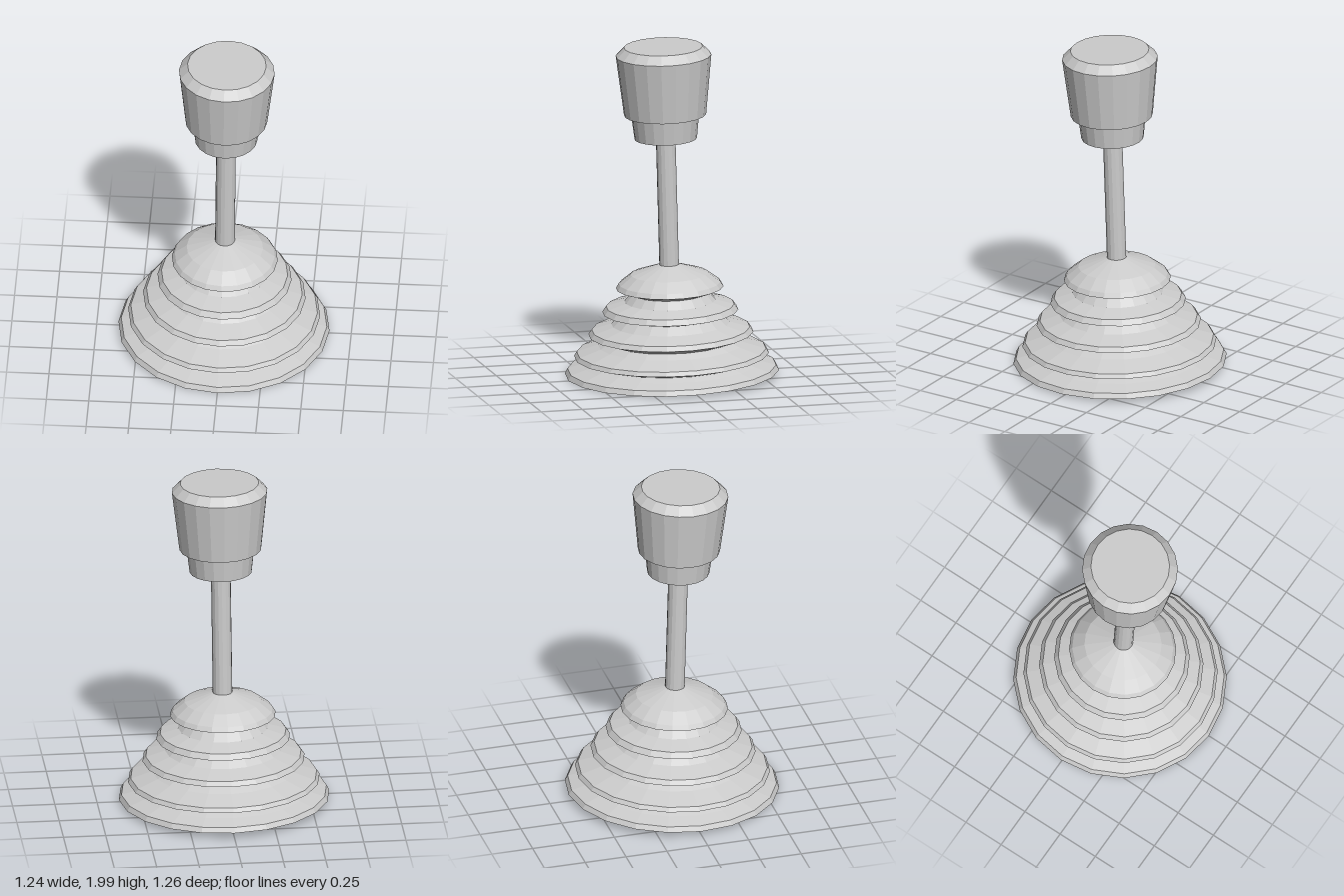
import * as THREE from 'three';

const material = new THREE.MeshStandardMaterial({ color: 0xcccccc, flatShading: true });

// Faceted solid of revolution from [radius, height] pairs, listed bottom to top
function turned(name, profile, sides) {
  const points = profile.map(([r, y]) => new THREE.Vector2(r, y));
  const mesh = new THREE.Mesh(new THREE.LatheGeometry(points, sides), material);
  mesh.name = name;
  return mesh;
}

export function createModel() {
  const model = new THREE.Group();
  model.name = 'gearLever';

  // Everything leans slightly forward and to the left as one piece
  const lever = new THREE.Group();
  lever.name = 'leaningLever';
  lever.position.set(0, 0.025, -0.003);
  lever.rotation.set(0.03, 0, -0.0105);
  model.add(lever);

  // Rubber bellows: each fold is [rim radius, rim bottom, lip radius, lip top, shoulder r, y, valley r, y]
  const folds = [
    [0.622, 0.0, 0.606, 0.03, 0.52, 0.055, 0.465, 0.075],
    [0.566, 0.105, 0.55, 0.13, 0.425, 0.17, 0.375, 0.197],
    [0.479, 0.235, 0.459, 0.263, 0.345, 0.297, 0.295, 0.343],
    [0.395, 0.37, 0.372, 0.403, 0.265, 0.433, 0.225, 0.48],
    [0.312, 0.512, 0.295, 0.54, 0.225, 0.595, 0.06, 0.65],
  ];
  const bellowsProfile = [[0, 0]];
  for (const [r, y, lipR, lipY, shoulderR, shoulderY, valleyR, valleyY] of folds) {
    bellowsProfile.push([r, y], [lipR, lipY], [shoulderR, shoulderY], [valleyR, valleyY]);
  }
  bellowsProfile.push([0, 0.65]);
  const bellows = turned('bellows', bellowsProfile, 20);
  bellows.scale.z = 1.016;
  lever.add(bellows);

  // Rod between the bellows and the knob
  lever.add(turned('rod', [[0, 0.62], [0.058, 0.62], [0.058, 1.44], [0, 1.44]], 16));

  // Knob: narrow collar, flared grip, bevelled flat top
  lever.add(turned('knob', [
    [0, 1.413], [0.184, 1.413], [0.2, 1.557], [0.242, 1.557],
    [0.282, 1.918], [0.232, 1.968], [0, 1.968],
  ], 20));

  return model;
}
